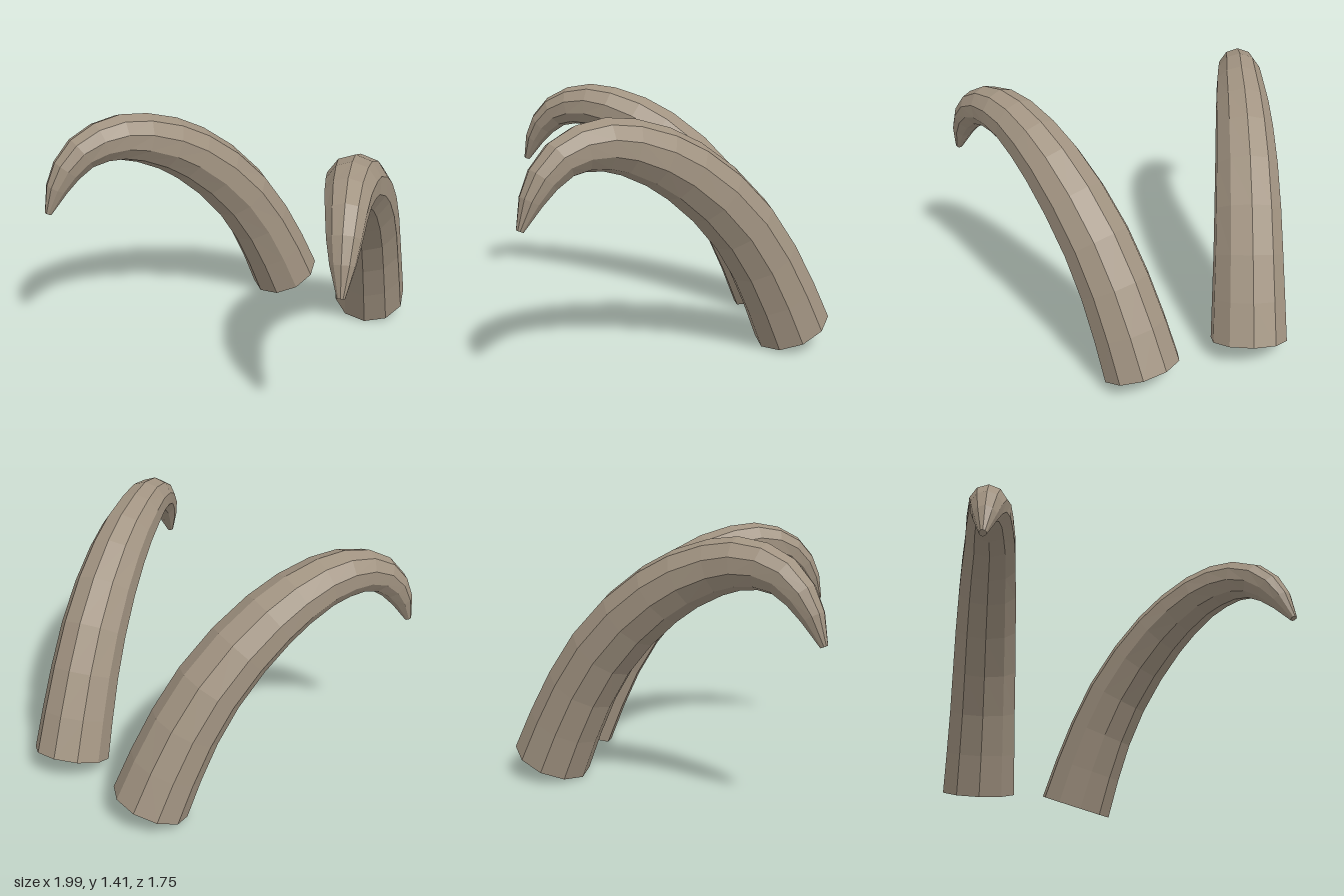
import * as THREE from 'three';

const SIDES = 10;

// Centre line and radius of the left horn, base to tip: x, y, z, radius
const RINGS = [
  [0.335, 0.095, -0.675, 0.225],
  [0.37, 0.32, -0.58, 0.215],
  [0.412, 0.545, -0.47, 0.205],
  [0.465, 0.76, -0.335, 0.197],
  [0.53, 0.95, -0.17, 0.187],
  [0.595, 1.095, 0.0, 0.175],
  [0.65, 1.185, 0.145, 0.163],
  [0.71, 1.25, 0.305, 0.148],
  [0.765, 1.275, 0.43, 0.136],
  [0.815, 1.265, 0.55, 0.121],
  [0.865, 1.22, 0.655, 0.105],
  [0.905, 1.135, 0.74, 0.088],
  [0.934, 1.035, 0.8, 0.064],
  [0.962, 0.895, 0.857, 0.02],
];

// Tapered ten-sided tube with closed ends; side = 1 or -1 mirrors it in x
function hornGeometry(side) {
  const centres = RINGS.map(([x, y, z]) => new THREE.Vector3(x, y, z));
  const last = centres.length - 1;
  const u = new THREE.Vector3(1, 0, 0);
  const positions = [];
  const index = [];
  const tri = (a, b, c) => (side > 0 ? index.push(a, b, c) : index.push(a, c, b));

  centres.forEach((centre, i) => {
    // Carry the cross-section along the curve without added twist
    const t = centres[Math.min(i + 1, last)].clone()
      .sub(centres[Math.max(i - 1, 0)]).normalize();
    u.addScaledVector(t, -u.dot(t)).normalize();
    const v = new THREE.Vector3().crossVectors(t, u);
    for (let k = 0; k < SIDES; k++) {
      const a = (k / SIDES) * Math.PI * 2;
      const p = centre.clone()
        .addScaledVector(u, Math.cos(a) * RINGS[i][3])
        .addScaledVector(v, Math.sin(a) * RINGS[i][3]);
      positions.push(p.x * side, p.y, p.z);
    }
  });

  // Wall facets
  for (let i = 0; i < last; i++) {
    for (let k = 0; k < SIDES; k++) {
      const a = i * SIDES + k;
      const b = i * SIDES + ((k + 1) % SIDES);
      tri(a, b, b + SIDES);
      tri(a, b + SIDES, a + SIDES);
    }
  }
  // Base and tip caps
  const top = last * SIDES;
  for (let k = 1; k < SIDES - 1; k++) {
    tri(0, k + 1, k);
    tri(top, top + k, top + k + 1);
  }

  const indexed = new THREE.BufferGeometry();
  indexed.setAttribute('position', new THREE.Float32BufferAttribute(positions, 3));
  indexed.setIndex(index);
  const geometry = indexed.toNonIndexed();
  geometry.computeVertexNormals();
  return geometry;
}

export function createModel() {
  const group = new THREE.Group();
  group.name = 'hornPair';
  const material = new THREE.MeshStandardMaterial({ color: 0xa19381, flatShading: true });
  material.name = 'horn';

  for (const [name, side] of [['leftHorn', 1], ['rightHorn', -1]]) {
    const horn = new THREE.Mesh(hornGeometry(side), material);
    horn.name = name;
    group.add(horn);
  }
  return group;
}
